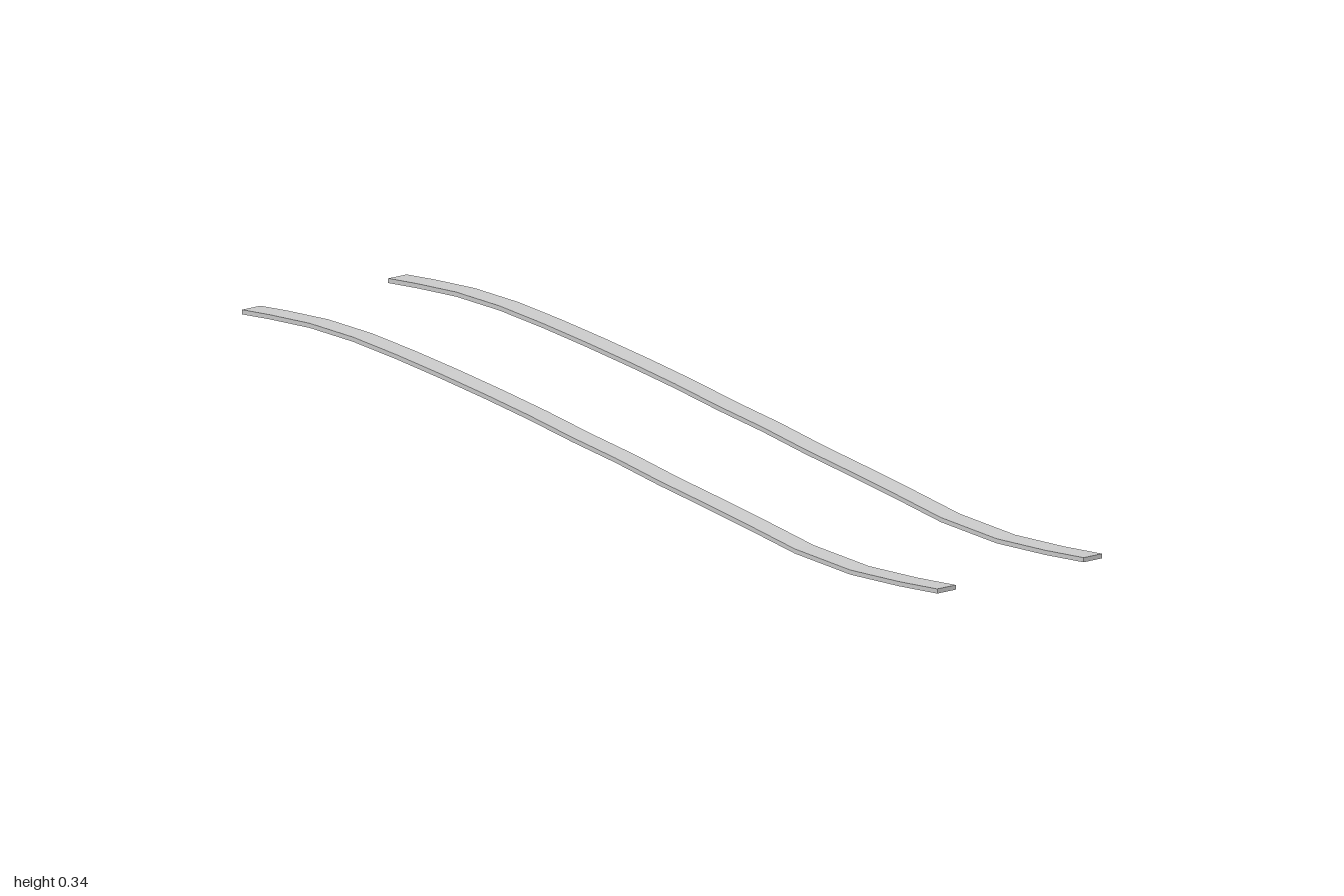
import * as THREE from 'three';

// Centreline stations of the ramp: [z, height of the upper face]
const stations = [
  [1, 0.010], [0.89, 0.011], [0.75, 0.017], [0.59, 0.041], [0.455, 0.075], [0.33, 0.105],
  [0.2, 0.135], [0.075, 0.167], [-0.05, 0.195], [-0.175, 0.226], [-0.3, 0.254], [-0.43, 0.281],
  [-0.555, 0.305], [-0.68, 0.326], [-0.805, 0.339], [-0.92, 0.342], [-1, 0.342],
];
const THICKNESS = 0.01;
const INNER = 0.2;
const WIDTH = 0.058;

export function createModel() {
  const model = new THREE.Group();
  model.name = 'rampTracks';
  const material = new THREE.MeshStandardMaterial({ color: 0xcccccc, flatShading: true });

  // Side profile: upper face from front to back, then the underside in return
  const top = stations.map(([z, y]) => new THREE.Vector2(-z, y));
  const bottom = stations.map(([z, y]) => new THREE.Vector2(-z, y - THICKNESS)).reverse();
  const profile = new THREE.Shape([...top, ...bottom]);

  // Sweep the profile across the width, with the run along -z
  const geometry = new THREE.ExtrudeGeometry(profile, { depth: WIDTH, bevelEnabled: false });
  geometry.rotateY(Math.PI / 2);

  // One narrow strip for each side
  for (const [name, x] of [['leftTrack', INNER], ['rightTrack', -INNER - WIDTH]]) {
    const track = new THREE.Mesh(geometry, material);
    track.name = name;
    track.position.x = x;
    model.add(track);
  }
  return model;
}
